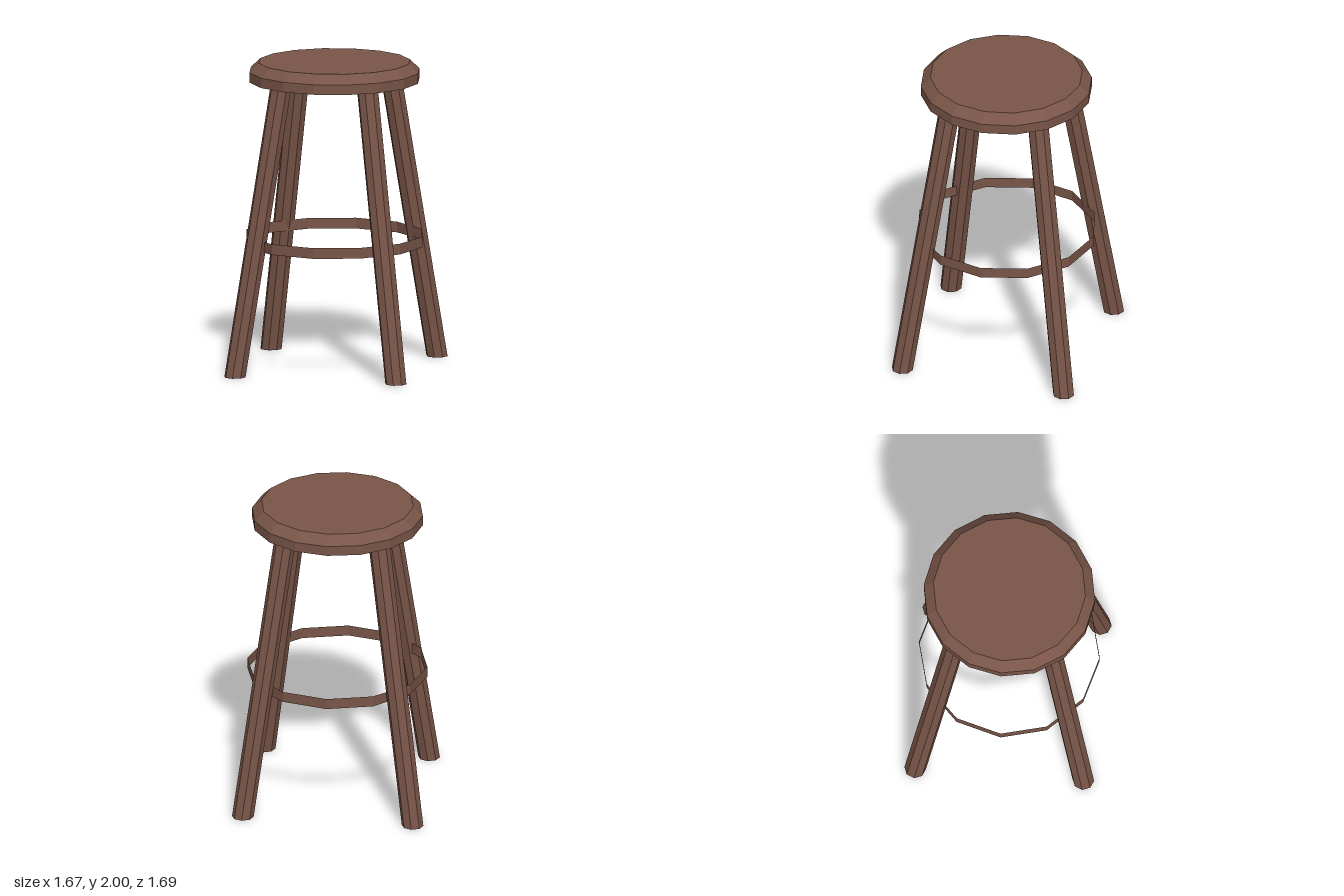
import * as THREE from 'three';

const wood = new THREE.MeshStandardMaterial({ color: 0x795548, flatShading: true });
const bandWood = new THREE.MeshStandardMaterial({ color: 0x795548, flatShading: true, side: THREE.DoubleSide });

const SEAT_BOTTOM = 1.875;
const CENTER_X = -0.012, CENTER_Z = 0.012;

// Octagonal leg cut level at both ends, leaning from its foot to its top
function makeLeg(name, foot, top) {
  const height = SEAT_BOTTOM + 0.01;
  const geo = new THREE.CylinderGeometry(0.07, 0.07, height, 8);
  geo.translate(0, height / 2, 0);
  const pos = geo.attributes.position;
  for (let i = 0; i < pos.count; i++) {
    const t = pos.getY(i) / height;
    pos.setX(i, pos.getX(i) + THREE.MathUtils.lerp(foot[0], top[0], t));
    pos.setZ(i, pos.getZ(i) + THREE.MathUtils.lerp(foot[1], top[1], t));
  }
  geo.computeVertexNormals();
  const leg = new THREE.Mesh(geo, wood);
  leg.name = name;
  return leg;
}

export function createModel() {
  const stool = new THREE.Group();
  stool.name = 'stool';

  // Round seat with a bevelled upper rim
  const profile = [[0, SEAT_BOTTOM], [0.555, SEAT_BOTTOM], [0.555, 1.94], [0.493, 2], [0, 2]];
  const seat = new THREE.Mesh(
    new THREE.LatheGeometry(profile.map(([r, y]) => new THREE.Vector2(r, y)), 16), wood);
  seat.name = 'seat';
  seat.position.set(CENTER_X, 0, CENTER_Z);
  stool.add(seat);

  // Four splayed legs
  for (const s of [1, -1]) {
    stool.add(makeLeg(s > 0 ? 'leftLeg' : 'rightLeg', [s * 0.763, CENTER_Z], [s * 0.413, CENTER_Z]));
    stool.add(makeLeg(s > 0 ? 'frontLeg' : 'backLeg', [CENTER_X, s * 0.775], [CENTER_X, s * 0.422]));
  }

  // Thin twelve-sided footrest band
  const ring = new THREE.Mesh(
    new THREE.CylinderGeometry(0.585, 0.585, 0.07, 12, 1, true, Math.PI / 12), bandWood);
  ring.name = 'footrestRing';
  ring.position.set(CENTER_X, 0.84, CENTER_Z);
  stool.add(ring);

  return stool;
}
